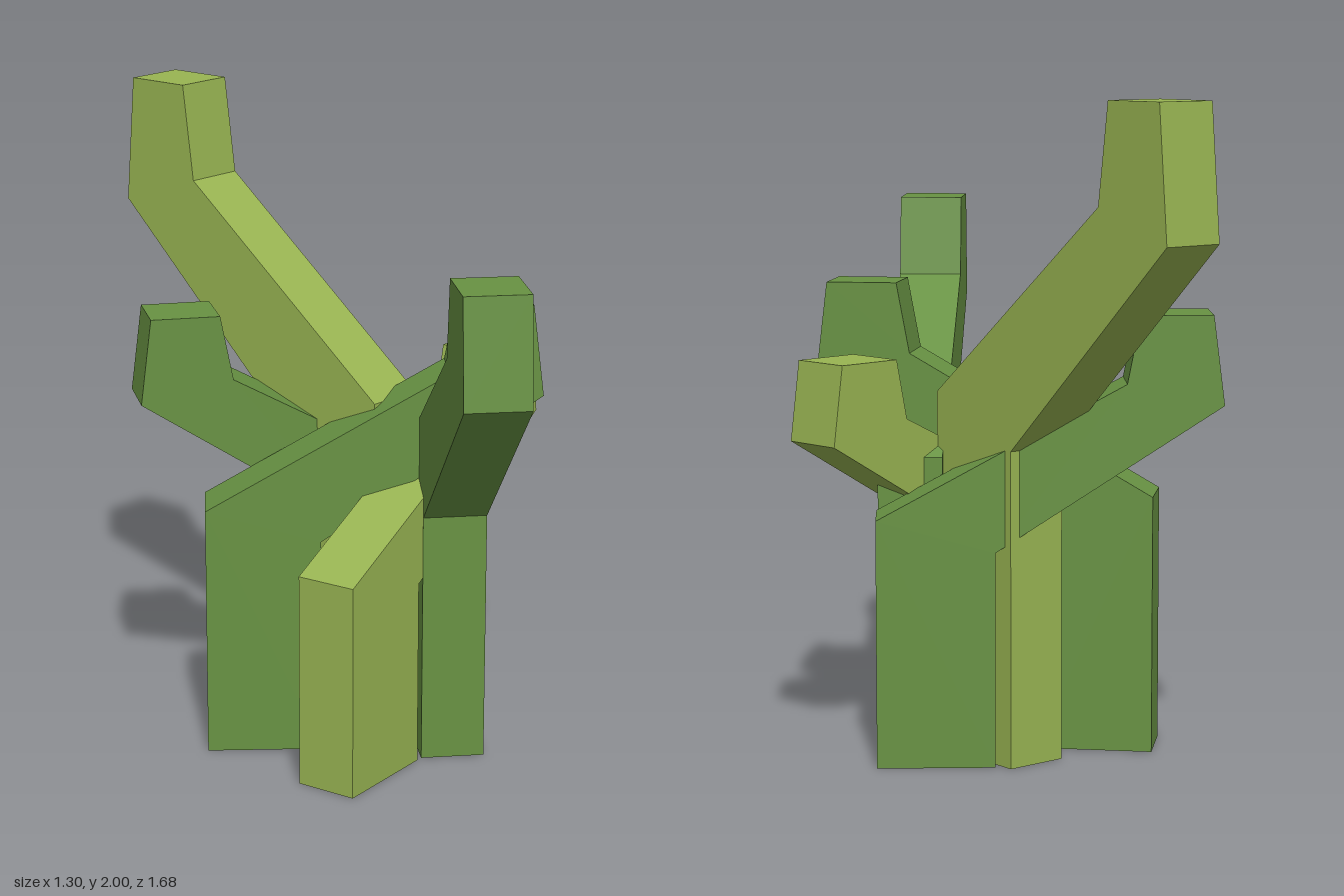
import * as THREE from 'three';

// Side profile of one cactus stalk: [distance along, height for a stalk of height 1]
const PROFILE = [
  [0, 0], [0.355, 0], [0.355, 0.48], [1.034, 0.802], // stem and underside of arm
  [1.0, 1], [0.785, 1], [0.745, 0.85], [0, 0.552],   // raised tip and upper side
];
const THICKNESS = 0.197;

export function createModel() {
  const green = new THREE.MeshStandardMaterial({ color: 0x689243 });
  green.name = 'cactus green';
  const olive = new THREE.MeshStandardMaterial({ color: 0x98b452 });
  olive.name = 'yellow green';

  // name, height, centre of the rear edge (x, z), angle about y in degrees, material
  const stalks = [
    ['leftStalk', 1.43, -0.415, -0.02, 0, green],
    ['frontStalk', 1.645, 0.316, -0.197, -85, green],
    ['rightStalk', 1.36, 0.395, -0.335, -170, green],
    ['backLeftStalk', 1.215, -0.058, 0.405, 52.7, olive],
    ['tallBackStalk', 2, 0.175, -0.07, 137.4, olive],
  ];

  const group = new THREE.Group();
  group.name = 'cactus';
  for (const [name, height, x, z, angle, material] of stalks) {
    const shape = new THREE.Shape(PROFILE.map(([u, v]) => new THREE.Vector2(u, v * height)));
    const geometry = new THREE.ExtrudeGeometry(shape, { depth: THICKNESS, bevelEnabled: false });
    geometry.translate(0, 0, -THICKNESS / 2);
    const stalk = new THREE.Mesh(geometry, material);
    stalk.name = name;
    stalk.position.set(x, 0, z);
    stalk.rotation.y = THREE.MathUtils.degToRad(angle);
    group.add(stalk);
  }
  return group;
}
